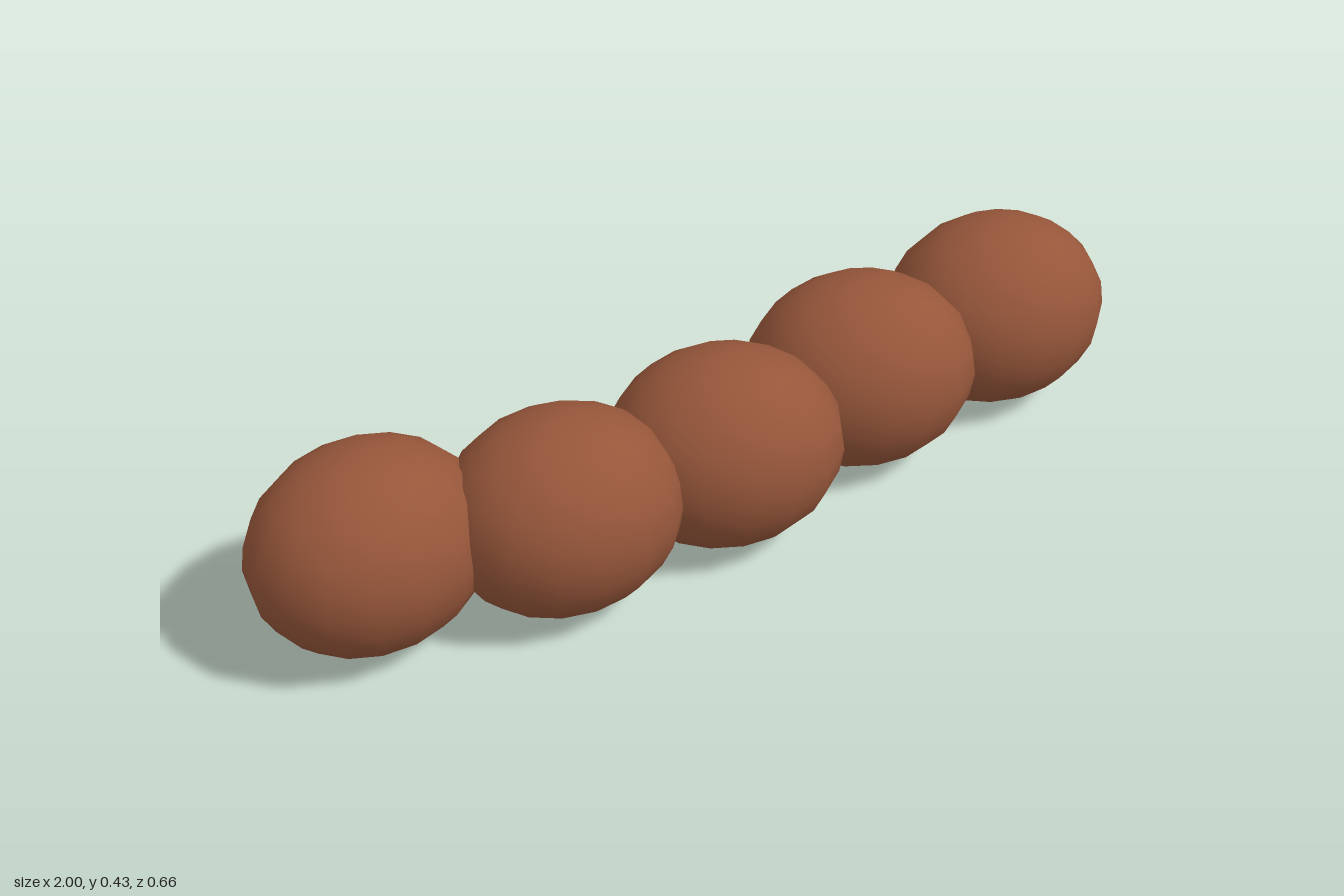
import * as THREE from 'three';

export function createModel() {
  const group = new THREE.Group();
  group.name = 'segmentedBody';

  const brown = new THREE.MeshStandardMaterial({ color: 0x96563a });
  brown.name = 'brown';

  // One rounded lobe, slightly longer along the body
  const lobe = new THREE.SphereGeometry(0.2125, 16, 12);
  lobe.scale(1.175, 1, 1);

  // Five overlapping lobes along a gentle wave, each turned with it
  for (let i = 0; i < 5; i++) {
    const phase = i + 0.5;
    const segment = new THREE.Mesh(lobe, brown);
    segment.name = `bodySegment${i + 1}`;
    segment.position.set((i - 2) * 0.377, 0.2125, 0.119 * Math.sin(phase));
    segment.rotation.y = 0.23 * Math.cos(phase);
    group.add(segment);
  }
  return group;
}
